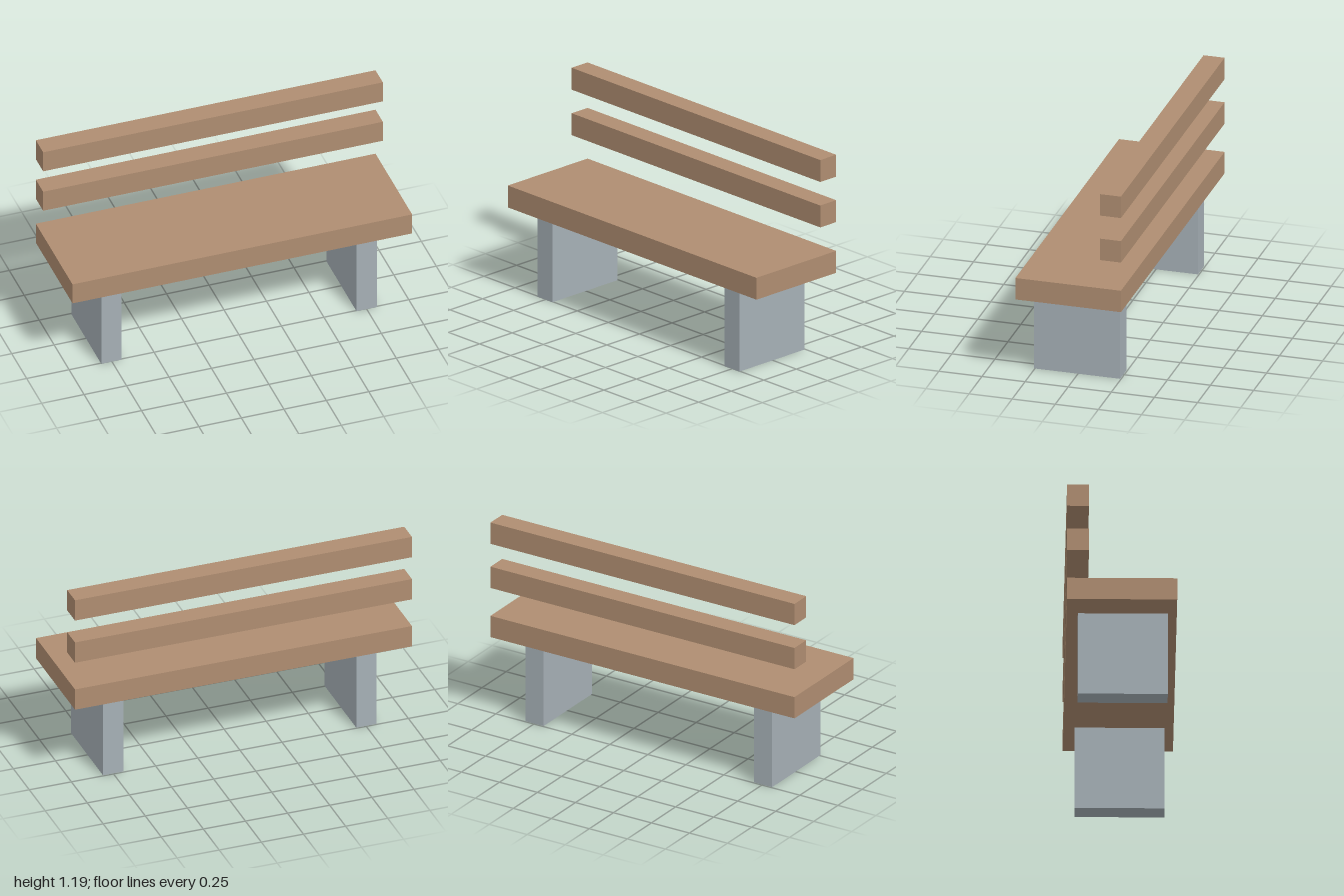
import * as THREE from 'three';

export function createModel() {
  const bench = new THREE.Group();
  bench.name = 'bench';

  const wood = new THREE.MeshStandardMaterial({ color: 0xaf8d71 });
  wood.name = 'wood';
  const stone = new THREE.MeshStandardMaterial({ color: 0xa6b0b6 });
  stone.name = 'stone';

  // Box resting with its underside at height y
  function addBlock(name, material, [width, height, depth], [x, y, z]) {
    const mesh = new THREE.Mesh(new THREE.BoxGeometry(width, height, depth), material);
    mesh.name = name;
    mesh.position.set(x, y + height / 2, z);
    bench.add(mesh);
  }

  // Seat plank
  addBlock('seat', wood, [2, 0.13, 0.612], [0, 0.492, 0]);

  // Slab legs
  addBlock('leftLeg', stone, [0.12, 0.492, 0.5], [0.75, 0, 0.006]);
  addBlock('rightLeg', stone, [0.12, 0.492, 0.5], [-0.753, 0, 0.006]);

  // Floating backrest slats, flush with the back of the seat
  addBlock('lowerBackSlat', wood, [2, 0.13, 0.122], [0, 0.793, -0.245]);
  addBlock('upperBackSlat', wood, [2, 0.13, 0.122], [0, 1.063, -0.245]);

  return bench;
}
